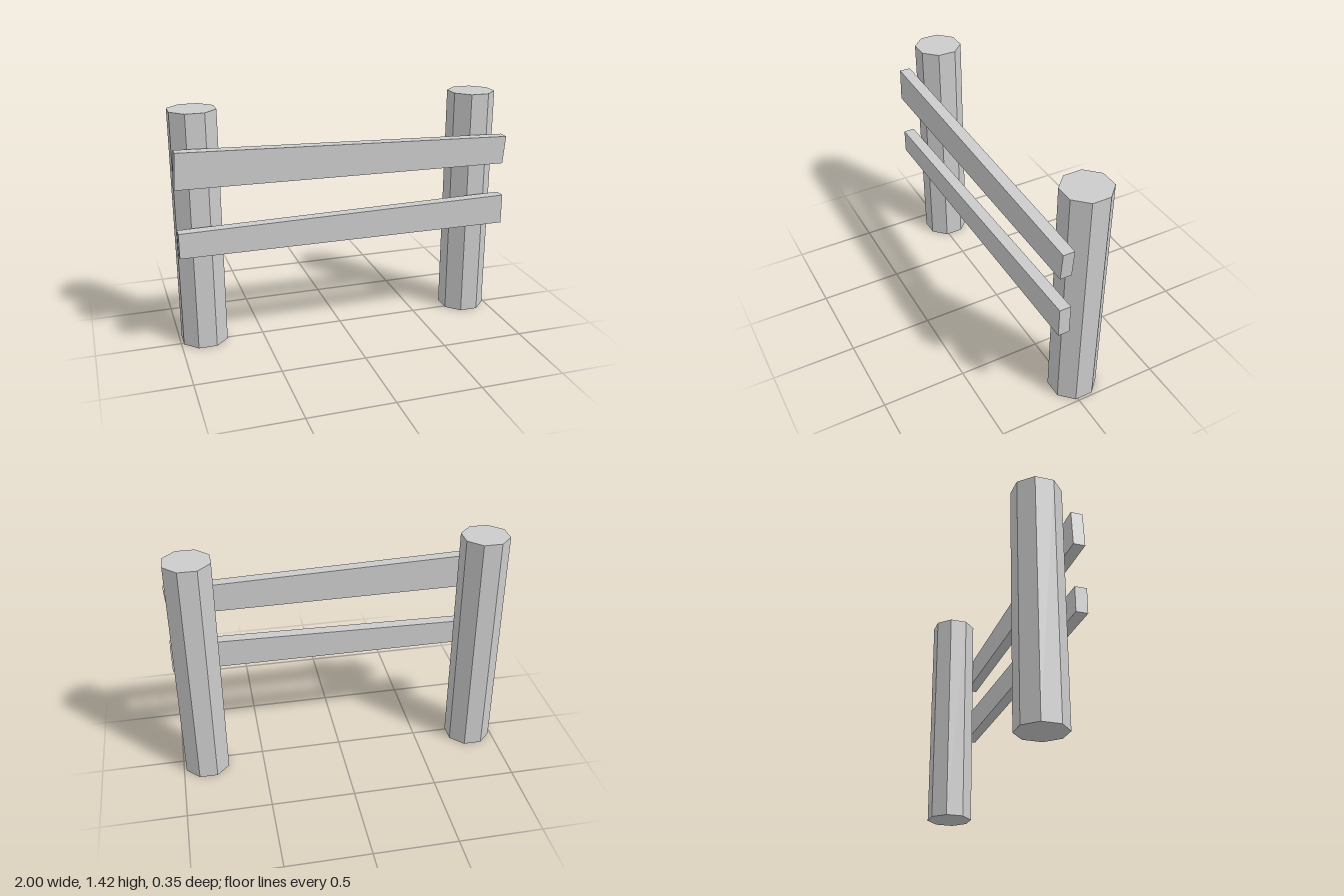
import * as THREE from 'three';

const material = new THREE.MeshStandardMaterial({ color: 0xcccccc, flatShading: true });

// Plank cut from a four-cornered front outline
function makeRail(name, corners) {
  const shape = new THREE.Shape(corners.map(([x, y]) => new THREE.Vector2(x, y)));
  const geometry = new THREE.ExtrudeGeometry(shape, { depth: 0.068, bevelEnabled: false });
  const rail = new THREE.Mesh(geometry, material);
  rail.name = name;
  rail.position.z = 0.105;
  return rail;
}

// Eight-sided post with flats facing the axes
function makePost(name, x) {
  const height = 1.42;
  const radius = 0.132 / Math.cos(Math.PI / 8);
  const geometry = new THREE.CylinderGeometry(radius, radius, height, 8);
  geometry.rotateY(Math.PI / 8);
  const post = new THREE.Mesh(geometry, material);
  post.name = name;
  post.position.set(x, height / 2, -0.041);
  return post;
}

export function createModel() {
  const fence = new THREE.Group();
  fence.name = 'fence';

  fence.add(makePost('leftPost', 0.853), makePost('rightPost', -0.853));

  // Hand-cut rails, slightly tapered, fixed to the front of the posts
  fence.add(
    makeRail('upperRail', [[-1, 1.02], [0.985, 1.003], [1, 1.17], [-0.985, 1.23]]),
    makeRail('lowerRail', [[-0.993, 0.617], [1, 0.617], [1, 0.797], [-0.993, 0.765]])
  );
  return fence;
}
